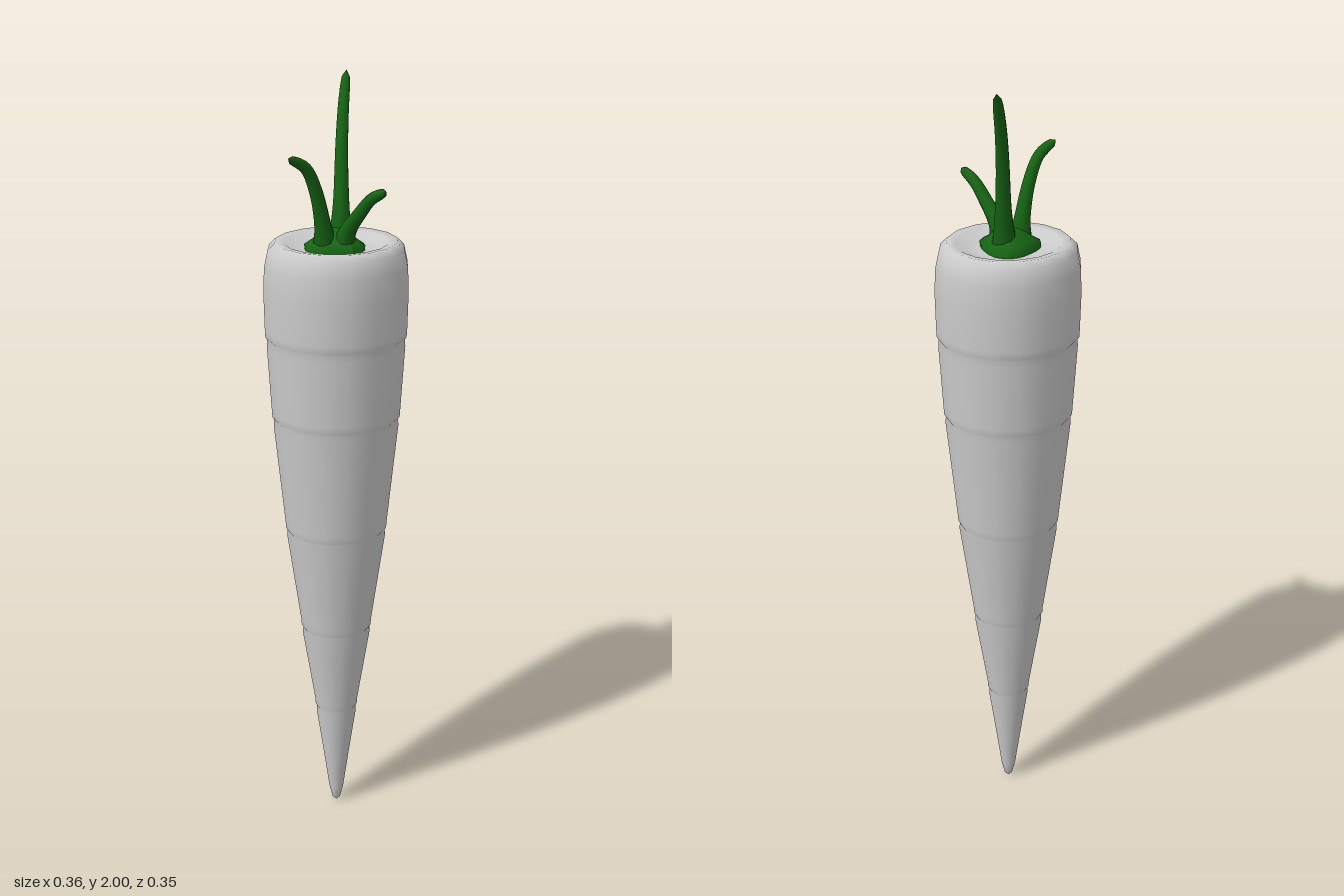
import * as THREE from 'three';

const grey = new THREE.MeshStandardMaterial({ color: 0xcccccc });
const green = new THREE.MeshStandardMaterial({ color: 0x166414 });

function addMesh(parent, name, geometry, material) {
  const mesh = new THREE.Mesh(geometry, material);
  mesh.name = name;
  parent.add(mesh);
  return mesh;
}

// Tapering root with shallow growth rings and a dished top
function rootGeometry() {
  const profile = [[0, 0], [0.011, 0.012], [0.02, 0.05], [0.035, 0.16]];
  const rings = [[0.056, 0.32], [0.093, 0.57], [0.132, 0.86], [0.163, 1.17], [0.177, 1.38]];
  for (const [r, y] of rings) {
    profile.push([r - 0.001, y - 0.02], [r - 0.002, y - 0.003], [r + 0.002, y + 0.003], [r + 0.003, y + 0.02]);
  }
  profile.push([0.182, 1.5], [0.179, 1.56], [0.17, 1.6], [0.152, 1.617],
    [0.13, 1.614], [0.105, 1.602], [0.075, 1.598], [0, 1.598]);
  const geometry = new THREE.LatheGeometry(profile.map(([r, y]) => new THREE.Vector2(r, y)), 16);
  return geometry.scale(1, 1, 0.965);
}

// Stalk: a tube whose rings flare at the foot and close in a rounded tip
function stalkGeometry(points) {
  const steps = 24, sides = 10;
  const curve = new THREE.CatmullRomCurve3(points.map((p) => new THREE.Vector3(...p)));
  const geometry = new THREE.TubeGeometry(curve, steps, 1, sides);
  const pos = geometry.attributes.position;
  const v = new THREE.Vector3();
  for (let i = 0; i <= steps; i++) {
    const t = i / steps;
    const centre = curve.getPointAt(t);
    const radius = (0.012 + 0.009 * (1 - t) + 0.016 * (1 - t) ** 8) * Math.sqrt(1 - t ** 24);
    for (let j = 0; j <= sides; j++) {
      const k = i * (sides + 1) + j;
      v.fromBufferAttribute(pos, k).sub(centre).multiplyScalar(radius).add(centre);
      pos.setXYZ(k, v.x, v.y, v.z);
    }
  }
  return geometry;
}

// Lumpy crown that joins the stalks to the root
function crownGeometry() {
  const profile = [[0.07, 1.59], [0.072, 1.61], [0.054, 1.622], [0.04, 1.636], [0.02, 1.646], [0, 1.648]];
  const geometry = new THREE.LatheGeometry(profile.map(([r, y]) => new THREE.Vector2(r, y)), 18);
  const pos = geometry.attributes.position;
  for (let i = 0; i < pos.count; i++) {
    const x = pos.getX(i), z = pos.getZ(i);
    const lump = 1 + 0.1 * Math.cos(3 * Math.atan2(z, x) + 2.6);
    pos.setX(i, x * lump - 0.003);
    pos.setZ(i, z * lump);
  }
  geometry.computeVertexNormals();
  return geometry;
}

export function createModel() {
  const model = new THREE.Group();
  model.name = 'carrot';
  addMesh(model, 'root', rootGeometry(), grey);

  const greens = new THREE.Group();
  greens.name = 'greens';
  model.add(greens);
  addMesh(greens, 'crown', crownGeometry(), green);
  const stalks = {
    tallStalk: [[0.017, 1.6, -0.01], [0.027, 1.69, -0.02], [0.045, 1.82, -0.045], [0.066, 1.91, -0.07], [0.098, 2, -0.104]],
    sideStalk: [[-0.035, 1.6, 0.005], [-0.047, 1.67, 0.01], [-0.07, 1.75, 0.016], [-0.1, 1.805, 0.021], [-0.15, 1.833, 0.026]],
    frontStalk: [[0, 1.6, 0.03], [0.003, 1.645, 0.043], [0.011, 1.695, 0.082], [0.02, 1.735, 0.118], [0.03, 1.76, 0.163]],
  };
  for (const [name, points] of Object.entries(stalks)) {
    addMesh(greens, name, stalkGeometry(points), green);
  }
  return model;
}
